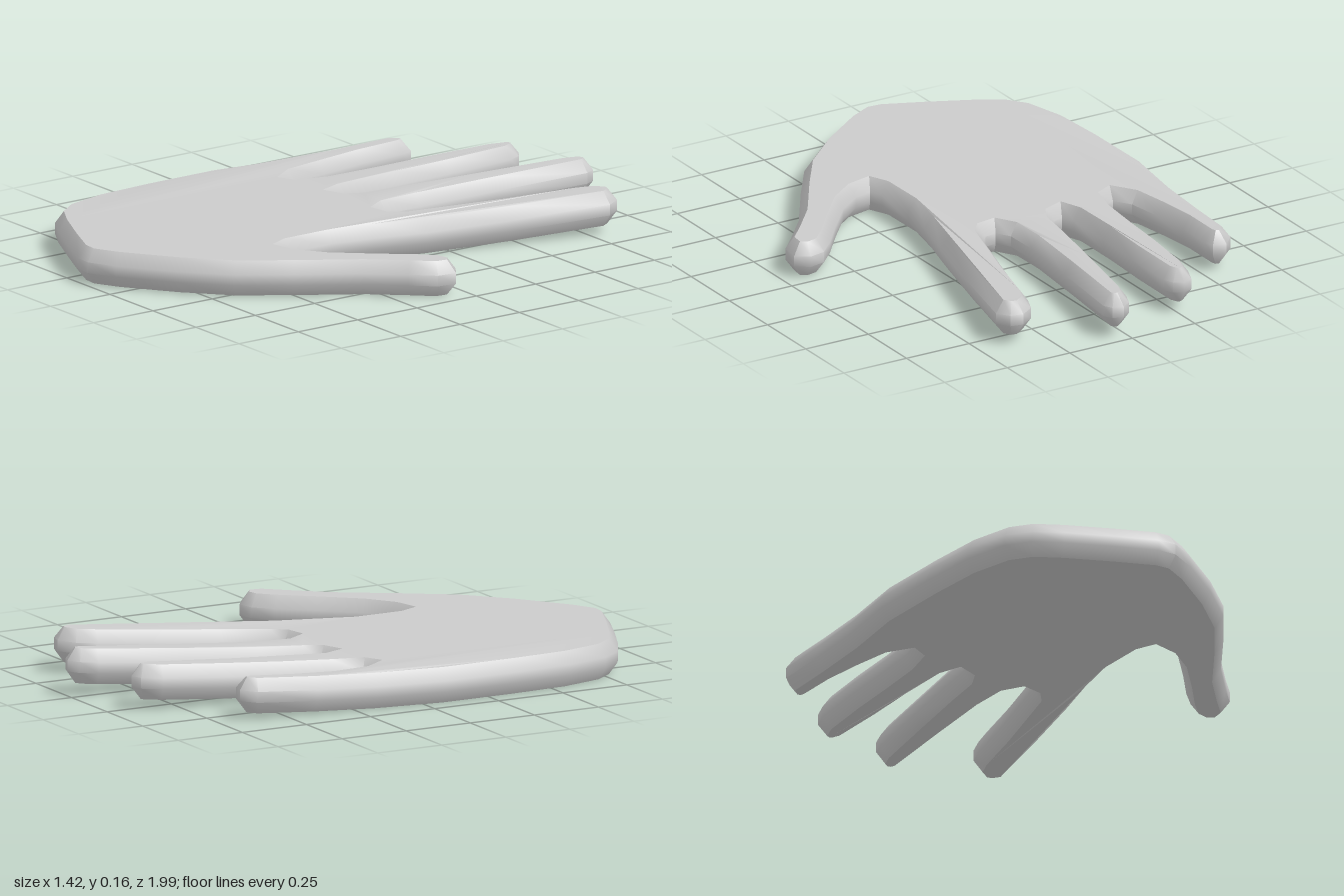
import * as THREE from 'three';
import { toCreasedNormals } from 'three/addons/utils/BufferGeometryUtils.js';

// Outline of the hand as x, z pairs, one run per part, in order around the hand
const outline = {
  palmEdge: [
    [-0.65, -0.4], [-0.675, -0.18], [-0.71, 0.07], [-0.707, 0.35], [-0.695, 0.56],
    [-0.655, 0.72], [-0.595, 0.8], [-0.5, 0.855], [-0.34, 0.93], [-0.2, 0.99], [-0.135, 0.995],
    [-0.04, 0.945], [0.135, 0.817], [0.285, 0.68],
  ],
  thumb: [
    [0.4, 0.515], [0.53, 0.315], [0.63, 0.2], [0.7, 0.125], [0.707, 0.055], [0.66, 0.022],
    [0.6, 0.035], [0.54, 0.095], [0.45, 0.205], [0.345, 0.325], [0.255, 0.39], [0.19, 0.405],
    [0.17, 0.36],
  ],
  indexFinger: [
    [0.168, 0.19], [0.2, 0.03], [0.25, -0.155], [0.33, -0.45], [0.423, -0.8], [0.395, -0.85],
    [0.35, -0.86], [0.295, -0.82], [0.265, -0.75], [0.2, -0.525], [0.14, -0.34], [0.09, -0.175],
    [0.06, -0.138], [0.015, -0.13], [-0.015, -0.18],
  ],
  middleFinger: [
    [-0.013, -0.315], [0.03, -0.605], [0.085, -0.95], [0.07, -0.985], [0.033, -0.998],
    [-0.005, -0.97], [-0.03, -0.91], [-0.1, -0.605], [-0.16, -0.34], [-0.185, -0.195],
    [-0.21, -0.145], [-0.25, -0.13], [-0.268, -0.18],
  ],
  ringFinger: [
    [-0.258, -0.39], [-0.235, -0.605], [-0.217, -0.845], [-0.23, -0.89], [-0.262, -0.912],
    [-0.3, -0.895], [-0.33, -0.825], [-0.367, -0.605], [-0.395, -0.395], [-0.42, -0.21],
    [-0.445, -0.11], [-0.475, -0.095], [-0.515, -0.155],
  ],
  littleFinger: [
    [-0.533, -0.29], [-0.537, -0.45], [-0.525, -0.615], [-0.533, -0.655], [-0.58, -0.665],
    [-0.625, -0.62],
  ],
};

export function createModel() {
  const group = new THREE.Group();
  const points = Object.values(outline).flat().map(([x, z]) => new THREE.Vector2(x, -z));

  // Flat slab with a broad chamfer on both faces
  const bevel = 0.043, bevelSize = 0.03, thickness = 0.124;
  let geometry = new THREE.ExtrudeGeometry(new THREE.Shape(points), {
    depth: thickness - 2 * bevel,
    bevelThickness: bevel,
    bevelSize,
    bevelOffset: -bevelSize,
    bevelSegments: 1,
  });
  geometry.rotateX(-Math.PI / 2);
  geometry.translate(0, bevel + 0.006, 0);

  // Fingers rise gently towards their tips
  const p = geometry.attributes.position;
  for (let i = 0; i < p.count; i++) {
    p.setY(i, p.getY(i) + 0.056 * Math.max(0, -p.getZ(i) - 0.25));
  }
  geometry = toCreasedNormals(geometry, THREE.MathUtils.degToRad(42));

  const hand = new THREE.Mesh(geometry, new THREE.MeshStandardMaterial({ color: 0xcccccc }));
  hand.name = 'openHand';
  group.add(hand);
  return group;
}
